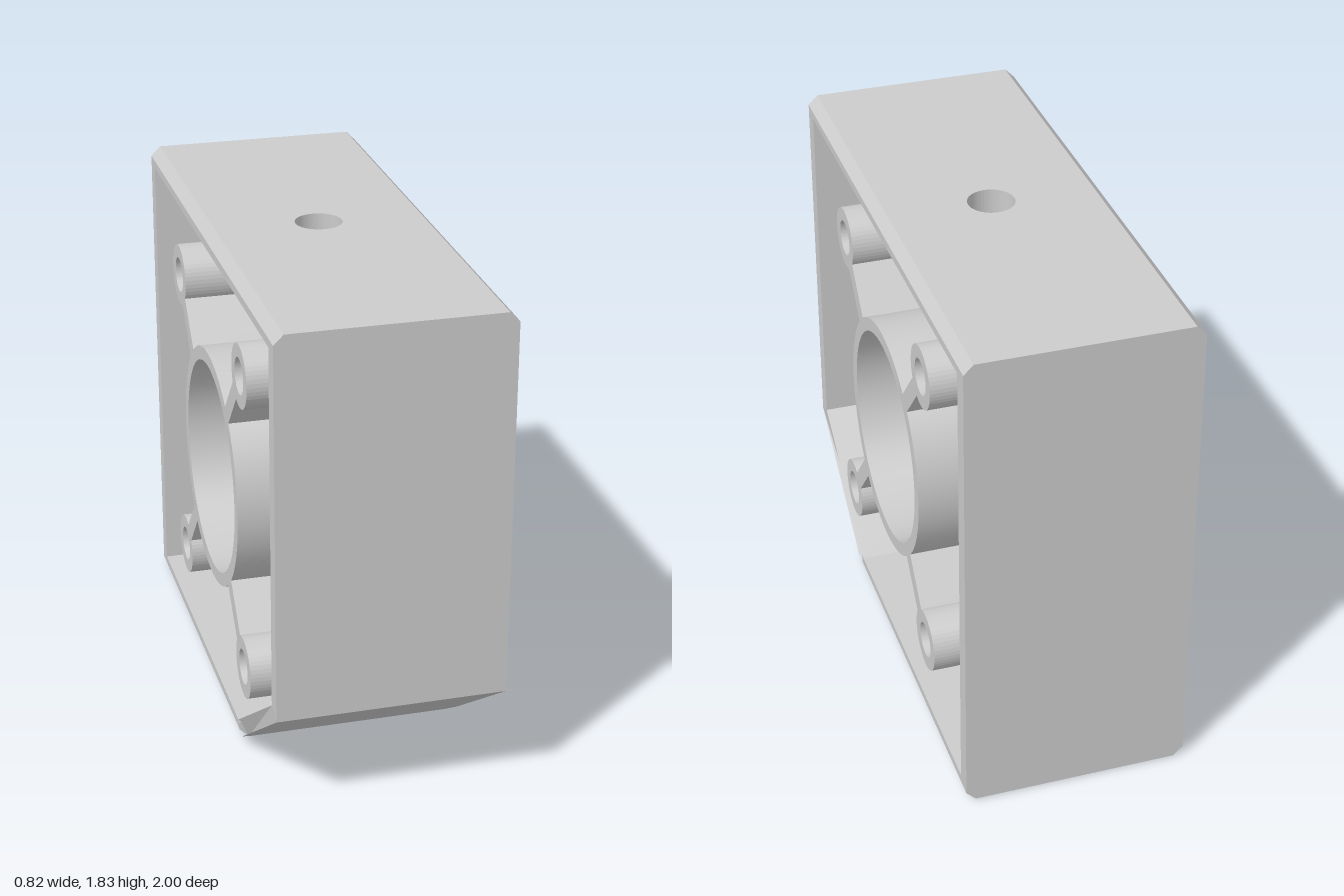
import * as THREE from 'three';

const W = 0.41, CH = 0.035, H = 1.825, T = 0.065; // half width, chamfer, height, wall
const CY = 0.9125, BORE = 0.395, HUB = 0.445, PORT = 0.085;
const WEB = 0.09, PILLAR = 0.185;
const bosses = [[0.5, 1.48], [-0.5, 1.48], [0.5, 0.345], [-0.5, 0.345]]; // z, y

const mat = new THREE.MeshStandardMaterial({ color: 0xcccccc, side: THREE.DoubleSide });

const poly = (pts) => new THREE.Shape(pts.map(([a, b]) => new THREE.Vector2(a, b)));
// outline given as [z, y], to be turned so that it lies across the x axis
const sidePoly = (pts) => poly(pts.map(([z, y]) => [-z, y]));
const circle = (x, y, r, C = THREE.Path) => {
  const p = new C();
  p.absarc(x, y, r, 0, Math.PI * 2, false);
  return p;
};
const extrude = (shape, depth) =>
  new THREE.ExtrudeGeometry(shape, { depth, bevelEnabled: false, curveSegments: 24 });
const acrossX = (shape) => extrude(shape, 2 * W).translate(0, 0, -W).rotateY(Math.PI / 2);

// Quarter of a cylinder about x, with an optional round port in its middle
function quarterShell(radius, facing, turn, port) {
  const K = 64, N = 8, pos = [], nor = [], idx = [];
  for (let k = 0; k <= K; k++) {
    const a = (k / K) * Math.PI * 2, c = Math.cos(a), s = Math.sin(a);
    const m = Math.max(Math.abs(c), Math.abs(s));
    for (let n = 0; n <= N; n++) {
      const t = n / N;
      const th = turn + THREE.MathUtils.lerp((port * c) / radius, (c / m) * Math.PI / 4, t);
      const x = THREE.MathUtils.lerp(port * s, (s / m) * W, t);
      pos.push(x, CY + radius * Math.cos(th), radius * Math.sin(th));
      nor.push(0, facing * Math.cos(th), facing * Math.sin(th));
      if (k < K && n < N) {
        const i = k * (N + 1) + n, j = i + N + 1;
        if (facing > 0) idx.push(i, i + 1, j + 1, i, j + 1, j);
        else idx.push(i, j + 1, i + 1, i, j, j + 1);
      }
    }
  }
  const g = new THREE.BufferGeometry();
  g.setAttribute('position', new THREE.Float32BufferAttribute(pos, 3));
  g.setAttribute('normal', new THREE.Float32BufferAttribute(nor, 3));
  g.setIndex(idx);
  return g;
}

export function createModel() {
  const group = new THREE.Group();
  const add = (name, geometry) => {
    const mesh = new THREE.Mesh(geometry, mat);
    mesh.name = name;
    group.add(mesh);
    return mesh;
  };

  // Front wall running into the sloped lower corner
  const front = acrossX(sidePoly([
    [1, H - T], [1, 0.41], [0.47, CH], [0.42, 0], [0.4, T], [0.935, 0.44], [0.935, H - T],
  ]));
  const p = front.attributes.position;
  for (let i = 0; i < p.count; i++) {
    if (p.getY(i) < 0.001) p.setX(i, Math.sign(p.getX(i)) * (W - CH));
  }
  front.computeVertexNormals();
  add('frontWall', front);

  // Back wall
  add('backWall', new THREE.BoxGeometry(2 * W, H - 2 * T, T).translate(0, H / 2, -1 + T / 2));

  // Top and bottom walls: a plate with a port, and a chamfered strip on each side
  for (const [name, top, zEnd] of [['topWall', true, 1], ['bottomWall', false, 0.42]]) {
    const b = W - CH;
    const plate = poly([[-b, -zEnd], [b, -zEnd], [b, 1], [-b, 1]]);
    plate.holes.push(circle(0, 0, PORT));
    add(name, extrude(plate, T).rotateX(-Math.PI / 2).translate(0, top ? H - T : 0, 0));
    const y = (v) => (top ? H - v : v);
    for (const s of [-1, 1]) {
      const strip = poly([[s * b, y(0)], [s * W, y(CH)], [s * W, y(T)], [s * b, y(T)]]);
      add(name + 'Chamfer', extrude(strip, zEnd + 1).translate(0, 0, -1));
    }
  }

  // Central web with openings for the hub and bosses
  const web = sidePoly([
    [0.96, H - 0.05], [0.96, 0.425], [0.41, 0.04], [-0.96, 0.04], [-0.96, H - 0.05],
  ]);
  web.holes.push(circle(0, CY, 0.42), ...bosses.map(([z, y]) => circle(-z, y, 0.09)));
  for (const s of [-1, 1]) {
    const face = new THREE.ShapeGeometry(web, 32);
    // turn the far face outward while keeping its outline in place
    if (s < 0) face.scale(-1, 1, 1).rotateY(-Math.PI / 2);
    else face.rotateY(Math.PI / 2);
    if (s < 0) {
      const ix = face.index.array;
      for (let i = 0; i < ix.length; i += 3) [ix[i], ix[i + 1]] = [ix[i + 1], ix[i]];
      face.computeVertexNormals();
    }
    add('web', face.translate(s * WEB, 0, 0));
  }

  // Hub: bored sleeve with ports above and below, and flat end rings
  for (let q = 0; q < 4; q++) {
    const port = q % 2 ? 0 : PORT;
    add('hubOuter', quarterShell(HUB, 1, q * Math.PI / 2, port));
    add('hubBore', quarterShell(BORE, -1, q * Math.PI / 2, port));
  }
  for (const s of [-1, 1]) {
    add('hubRim', new THREE.RingGeometry(BORE, HUB, 64).rotateY(s * Math.PI / 2).translate(s * W, CY, 0));
  }

  // Corner bosses with screw holes, tied to the hub by ribs
  for (const [z, y] of bosses) {
    const ring = circle(-z, y, 0.115, THREE.Shape);
    ring.holes.push(circle(-z, y, 0.066));
    add('boss', acrossX(ring));
    const r0 = 0.43, r1 = Math.hypot(z, y - CY) - 0.1;
    const rib = new THREE.BoxGeometry(2 * W, 0.066, r1 - r0).translate(0, 0, (r0 + r1) / 2);
    add('rib', rib.rotateX(-Math.atan2(y - CY, z)).translate(0, CY, 0));
  }

  // Vertical pillars with a channel leading into the bore
  const tube = (r, from, to, s) =>
    new THREE.CylinderGeometry(r, r, to - from, 48, 1, true).translate(0, CY + s * (from + to) / 2, 0);
  for (const s of [-1, 1]) {
    add('pillar', tube(PILLAR, 0.4, CY - T, s));
    add('channel', tube(PORT, 0.39, CY - T, s));
  }
  return group;
}
